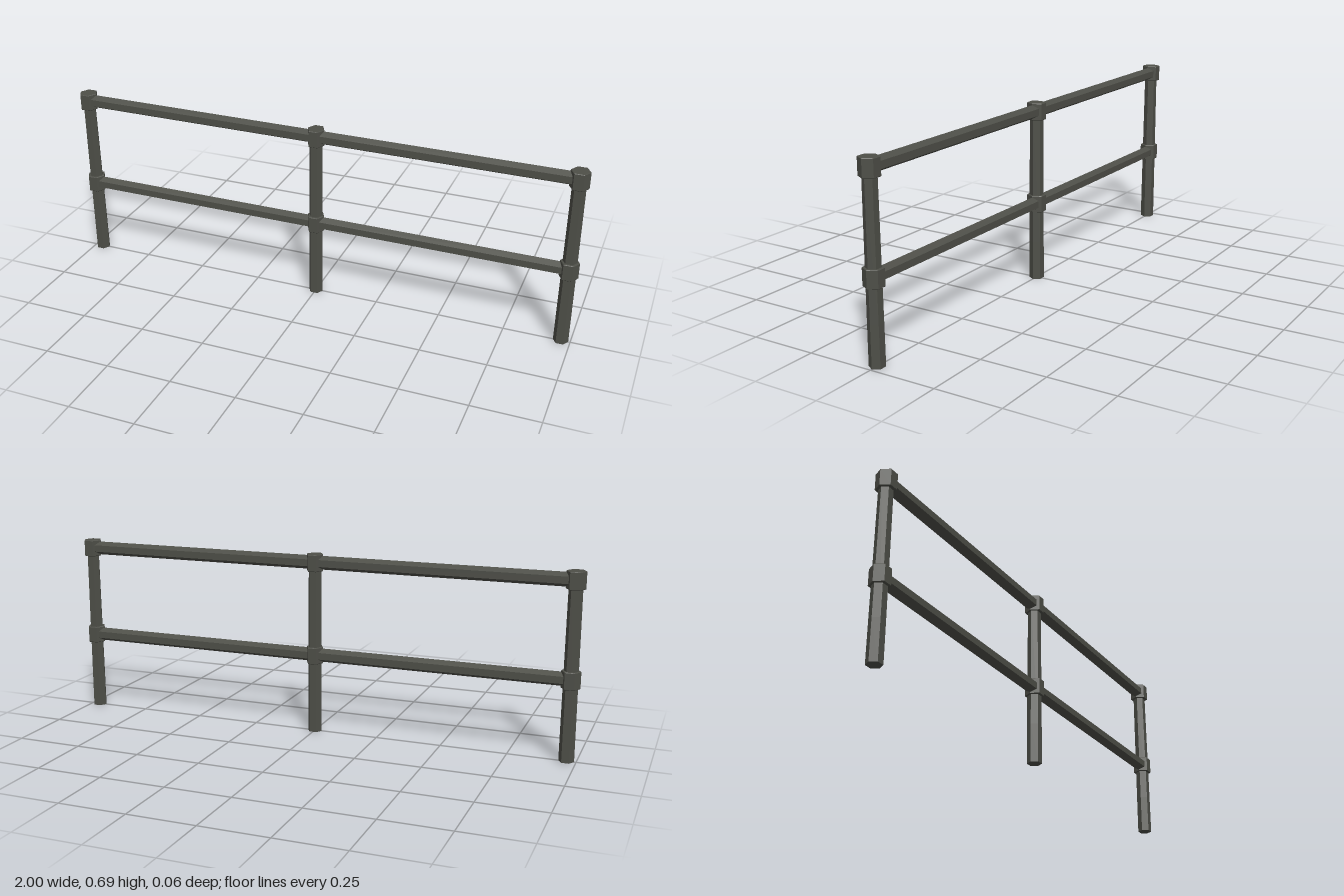
import * as THREE from 'three';

export function createModel() {
  const model = new THREE.Group();
  model.name = 'railing';
  const iron = new THREE.MeshStandardMaterial({ color: 0x4e4f48 });
  iron.name = 'dark iron';

  // six-sided solid turned from [radius, y] pairs, with corners on +x and -x
  function hexSolid(name, profile, scaleX = 1) {
    const points = profile.map(([r, y]) => new THREE.Vector2(r, y));
    const geometry = new THREE.LatheGeometry(points, 6, Math.PI / 2, Math.PI * 2).toNonIndexed();
    geometry.scale(scaleX, 1, 1);
    geometry.computeVertexNormals();
    const mesh = new THREE.Mesh(geometry, iron);
    mesh.name = name;
    model.add(mesh);
    return mesh;
  }

  const postX = 0.965;
  const railHeights = [0.303, 0.659];

  for (const x of [-postX, 0, postX]) {
    // upright, slightly thicker towards the foot
    hexSolid('post', [[0, 0], [0.028, 0], [0.0275, 0.15], [0.025, 0.66], [0, 0.66]]).position.x = x;

    // joint collars with softened rims
    for (const y of railHeights) {
      const h = 0.032, r = 0.037, b = 0.002;
      hexSolid('collar', [
        [0, -h], [r - b, -h], [r, -h + b], [r, h - b], [r - b, h], [0, h],
      ], x === 0 ? 0.88 : 0.95).position.set(x, y, 0);
    }
  }

  // horizontal rails between neighbouring posts, corners up and down
  for (const y of railHeights) {
    for (const side of [-1, 1]) {
      const half = postX / 2;
      const rail = hexSolid('rail', [[0, -half], [0.026, -half], [0.026, half], [0, half]]);
      rail.rotation.z = Math.PI / 2;
      rail.position.set(side * half, y, 0);
    }
  }
  return model;
}
